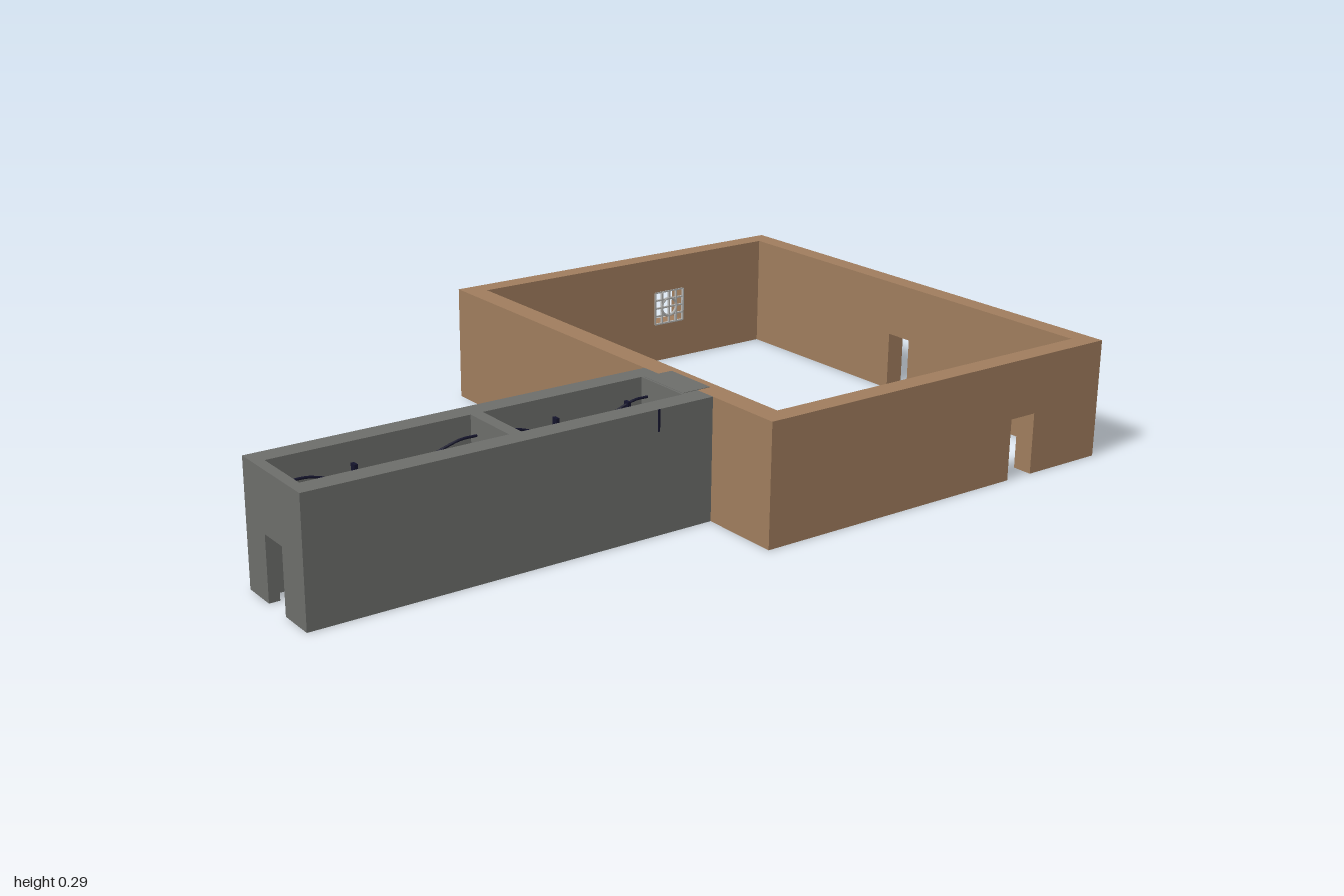
import * as THREE from 'three';

const H = 0.29, DOOR = 0.15;
const mat = (name, color) => {
  const m = new THREE.MeshStandardMaterial({ color });
  m.name = name;
  return m;
};

export function createModel() {
  const brown = mat('brown', 0x9f7c5d);
  const grey = mat('grey', 0x6c6d6a);
  const silver = mat('silver', 0xb4b4b2);
  const navy = mat('navy', 0x14142c);
  const model = new THREE.Group();

  const group = (name) => {
    const g = new THREE.Group();
    g.name = name;
    model.add(g);
    return g;
  };
  const add = (parent, name, geo, material) => {
    const m = new THREE.Mesh(geo, material);
    m.name = name;
    parent.add(m);
    return m;
  };
  // Box given by its lower and upper corners
  const box = (parent, name, material, [x0, y0, z0], [x1, y1, z1]) =>
    add(parent, name, new THREE.BoxGeometry(x1 - x0, y1 - y0, z1 - z0), material)
      .position.set((x0 + x1) / 2, (y0 + y1) / 2, (z0 + z1) / 2);

  // Upright wall from a to b with doorway notches [u0, u1] and windows [u0, u1, y0, y1]
  const wallGeo = (a, b, depth, doors = [], windows = []) => {
    const s = new THREE.Shape().moveTo(a, 0);
    for (const [d0, d1] of doors) s.lineTo(d0, 0).lineTo(d0, DOOR).lineTo(d1, DOOR).lineTo(d1, 0);
    s.lineTo(b, 0).lineTo(b, H).lineTo(a, H).closePath();
    for (const [u0, u1, y0, y1] of windows)
      s.holes.push(new THREE.Path().moveTo(u0, y0).lineTo(u0, y1).lineTo(u1, y1).lineTo(u1, y0).closePath());
    return new THREE.ExtrudeGeometry(s, { depth, bevelEnabled: false });
  };
  const wallX = (parent, name, material, z, a, b, depth, doors, windows) => {
    add(parent, name, wallGeo(a, b, depth, doors, windows), material).position.z = z;
  };
  const wallZ = (parent, name, material, x, a, b, depth, doors, windows) => {
    const m = add(parent, name, wallGeo(a, b, depth, doors, windows), material);
    m.rotation.y = -Math.PI / 2;
    m.position.x = x + depth;
  };

  // Room
  const room = group('room');
  const passage = [[0.265, 0.34]];
  const windows = [[-0.68, -0.585, 0.105, 0.195], [-0.215, -0.12, 0.105, 0.195]];
  wallX(room, 'roomFrontWall', brown, -0.045, -0.63, 0.63, 0.055, passage);
  wallX(room, 'roomBackWall', brown, -1, -0.63, 0.63, 0.05, [[-0.037, 0.037]]);
  wallZ(room, 'roomLeftWall', brown, 0.58, -0.95, -0.045, 0.05, [[-0.785, -0.71]]);
  wallZ(room, 'roomRightWall', brown, -0.63, -0.95, -0.045, 0.05, [], windows);
  box(room, 'roomFloor', brown, [-0.58, 0, -0.3], [0.58, 0.01, -0.045]);

  // Window grilles on the inner face of the wall
  for (const [z0, z1, y0, y1] of windows) {
    const grille = group('windowGrille');
    const t = 0.004, x0 = -0.584, x1 = -0.577;
    for (let i = 0; i <= 4; i++) {
      const z = z0 + (z1 - z0) * i / 4, y = y0 + (y1 - y0) * i / 4;
      box(grille, 'grilleUpright', silver, [x0, y0, z - t / 2], [x1, y1, z + t / 2]);
      box(grille, 'grilleCrossbar', silver, [x0, y - t / 2, z0], [x1 - 0.001, y + t / 2, z1]);
    }
    const ring = add(grille, 'grilleRing', new THREE.TorusGeometry(0.025, 0.004, 6, 20), silver);
    ring.rotation.y = Math.PI / 2;
    ring.position.set(-0.58, (y0 + y1) / 2, (z0 + z1) / 2);
  }

  // Corridor
  const corridor = group('corridor');
  for (const x of [0.18, 0.38]) wallZ(corridor, 'corridorSideWall', grey, x, 0.01, 1, 0.05);
  wallX(corridor, 'corridorEntranceWall', grey, 0.975, 0.23, 0.38, 0.025, passage);
  wallX(corridor, 'corridorPartition', grey, 0.47, 0.23, 0.38, 0.03, passage);
  wallX(corridor, 'corridorInnerWall', grey, 0.01, 0.23, 0.38, 0.045, passage);
  box(corridor, 'doorSill', grey, [0.265, 0, 0.01], [0.34, 0.02, 0.055]);
  box(corridor, 'lintelCap', grey, [0.235, 0.285, -0.025], [0.375, 0.291, 0.05]);
  box(corridor, 'wallMark', navy, [0.429, 0.24, 0.153], [0.432, 0.29, 0.158]);

  // Sagging cable strung along each corridor bay, with small clips
  const cable = (z0, z1) => {
    const pts = [];
    for (let i = 0; i <= 12; i++) {
      const t = i / 12;
      pts.push(new THREE.Vector3(0.253, 0.25 - 0.025 * Math.sin(Math.PI * t) + 0.006 * Math.sin(17 * t), z0 + (z1 - z0) * t));
    }
    add(corridor, 'cable', new THREE.TubeGeometry(new THREE.CatmullRomCurve3(pts), 48, 0.003, 6), navy);
  };
  cable(0.055, 0.47);
  cable(0.5, 0.975);
  for (const z of [0.11, 0.3, 0.79, 0.95])
    box(corridor, 'cableClip', navy, [0.245, 0.226, z - 0.004], [0.261, 0.25, z + 0.004]);

  return model;
}
